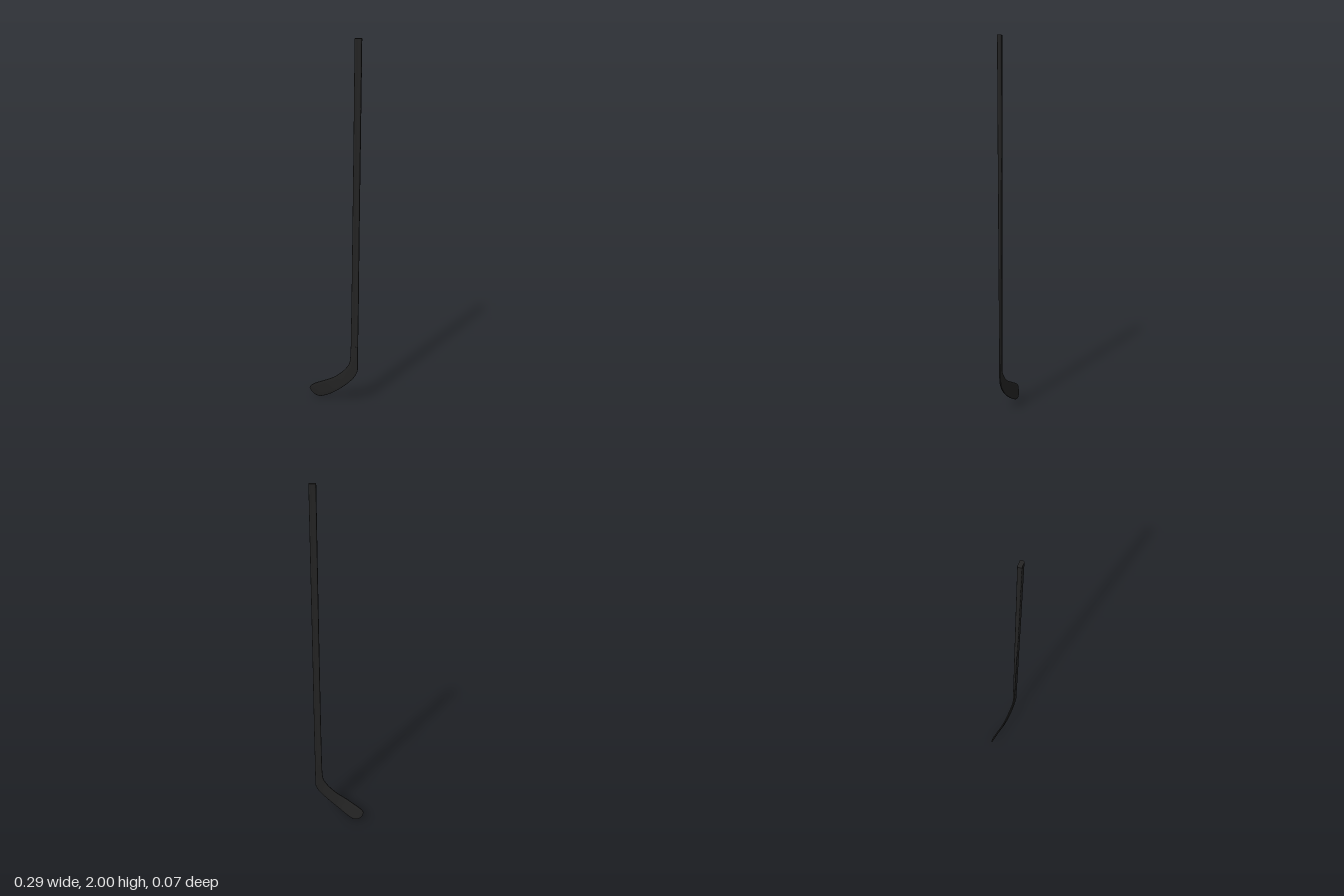
import * as THREE from 'three';

const SIDES = 32;

// Stations: inner/top edge (x, y, z), outer/bottom edge (x, y, z), thickness
const SHAFT = [
  [0.107, 2.0, 0.023, 0.143, 2.0, 0.023, 0.023],
  [0.106, 1.5, 0.023, 0.142, 1.5, 0.023, 0.021],
  [0.104, 1.0, 0.023, 0.141, 1.0, 0.023, 0.018],
  [0.102, 0.6, 0.023, 0.141, 0.6, 0.023, 0.015],
  [0.100, 0.36, 0.023, 0.140, 0.36, 0.023, 0.013],
];
const BLADE = [
  SHAFT[4],
  [0.098, 0.300, 0.024, 0.140, 0.265, 0.024, 0.012],
  [0.092, 0.255, 0.024, 0.139, 0.212, 0.024, 0.011],
  [0.077, 0.228, 0.023, 0.125, 0.178, 0.024, 0.010],
  [0.055, 0.200, 0.020, 0.100, 0.145, 0.022, 0.010],
  [0.010, 0.160, 0.014, 0.058, 0.103, 0.017, 0.010],
  [-0.040, 0.130, 0.005, 0.005, 0.058, 0.006, 0.010],
  [-0.085, 0.104, -0.009, -0.045, 0.022, -0.012, 0.010],
  [-0.116, 0.085, -0.018, -0.090, 0.002, -0.027, 0.011],
  [-0.136, 0.068, -0.023, -0.118, 0.010, -0.031, 0.010],
  [-0.145, 0.052, -0.026, -0.136, 0.028, -0.030, 0.005],
];

const soften = (v) => Math.sign(v) * Math.sqrt(Math.abs(v));

// Lofts rounded, slightly waisted sections through the stations
function loft(stations, steps, pinch) {
  const edge = (k) => new THREE.CatmullRomCurve3(
    stations.map((s) => new THREE.Vector3(s[k], s[k + 1], s[k + 2])));
  const inner = edge(0), outer = edge(3);
  const thickness = new THREE.CatmullRomCurve3(
    stations.map((s) => new THREE.Vector3(s[6], 0, 0)), false, 'catmullrom');
  const pos = [], index = [];
  for (let j = 0; j <= steps; j++) {
    const t = j / steps;
    const a = inner.getPoint(t), b = outer.getPoint(t);
    const half = thickness.getPoint(t).x / 2;
    for (let i = 0; i < SIDES; i++) {
      const angle = (i / SIDES) * Math.PI * 2;
      const u = soften(Math.cos(angle));
      const p = a.clone().lerp(b, (u + 1) / 2);
      const waist = 1 - pinch * Math.max(0, 1 - 2 * u * u);
      pos.push(p.x, p.y, p.z + soften(Math.sin(angle)) * half * waist);
      if (j < steps) {
        const n = (i + 1) % SIDES, r = j * SIDES;
        index.push(r + i, r + n, r + SIDES + i, r + n, r + SIDES + n, r + SIDES + i);
      }
    }
  }
  const geo = new THREE.BufferGeometry();
  geo.setAttribute('position', new THREE.Float32BufferAttribute(pos, 3));
  geo.setIndex(index);
  geo.computeVertexNormals();
  return geo;
}

// Flat lid over the first or last ring of a loft
function lid(geo, last) {
  const src = geo.getAttribute('position');
  const start = last ? src.count - SIDES : 0;
  const ring = Array.from({ length: SIDES }, (_, i) =>
    new THREE.Vector3().fromBufferAttribute(src, start + i));
  const centre = ring.reduce((c, p) => c.add(p), new THREE.Vector3()).divideScalar(SIDES);
  const points = [];
  ring.forEach((p, i) => {
    const q = ring[(i + 1) % SIDES];
    points.push(centre, last ? p : q, last ? q : p);
  });
  const out = new THREE.BufferGeometry().setFromPoints(points);
  out.computeVertexNormals();
  return out;
}

export function createModel() {
  const group = new THREE.Group();
  group.name = 'hockeyStick';
  const black = new THREE.MeshStandardMaterial({ color: 0x242424 });
  black.name = 'matte black';
  const add = (name, geo) => {
    const mesh = new THREE.Mesh(geo, black);
    mesh.name = name;
    group.add(mesh);
  };

  // Long tapering shaft with a flat butt end
  const shaft = loft(SHAFT, 24, 0.12);
  add('shaft', shaft);
  add('buttEnd', lid(shaft, false));

  // Curved heel and blade with a rounded toe
  const blade = loft(BLADE, 60, 0);
  add('blade', blade);
  add('toeTip', lid(blade, true));
  return group;
}
